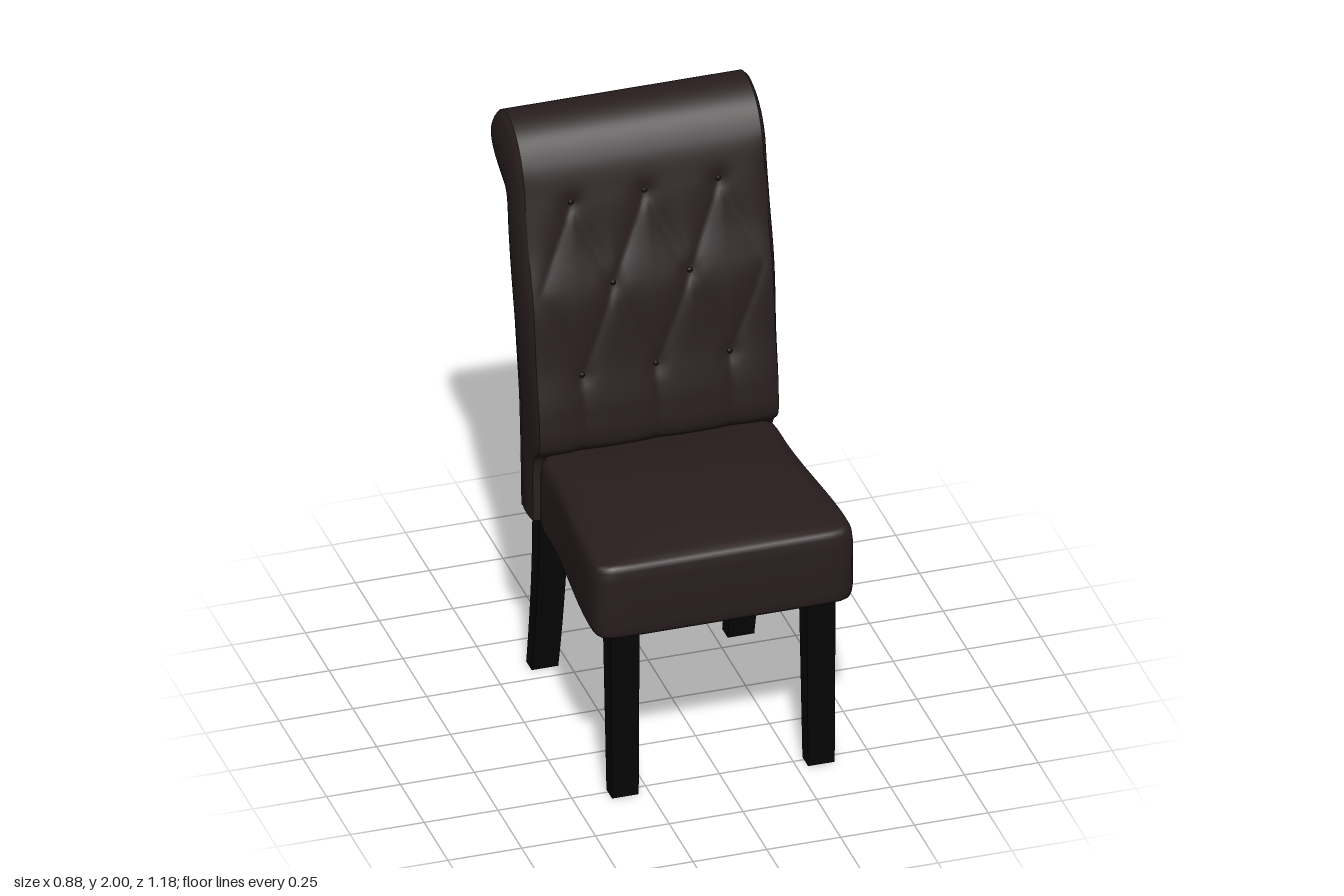
import * as THREE from 'three';

const V3 = (x, y, z) => new THREE.Vector3(x, y, z);
const mat = (name, color) => Object.assign(new THREE.MeshStandardMaterial({ color }), { name });
const mix = THREE.MathUtils.lerp, smooth = THREE.MathUtils.smoothstep;

// Smooth surface from a rule p(u, v); the outside is on the du x dv side
function patch(p, nu, nv) {
  const pos = [], idx = [];
  for (let j = 0; j <= nv; j++)
    for (let i = 0; i <= nu; i++) pos.push(...p(i / nu, j / nv).toArray());
  for (let j = 0; j < nv; j++)
    for (let i = 0; i < nu; i++) {
      const a = j * (nu + 1) + i, d = a + nu + 1;
      idx.push(a, a + 1, d + 1, a, d + 1, d);
    }
  const g = new THREE.BufferGeometry();
  g.setAttribute('position', new THREE.Float32BufferAttribute(pos, 3));
  g.setIndex(idx);
  g.computeVertexNormals();
  return g;
}

// Backrest profile: matching front and back edges as [z, y], floor end to scroll tip
const curve = pts => new THREE.CatmullRomCurve3(pts.map(([z, y]) => V3(0, y, z)));
const frontEdge = curve([[-0.19, 0.625], [-0.185, 0.85], [-0.125, 0.92], [-0.125, 1.03], [-0.155, 1.2],
  [-0.185, 1.42], [-0.235, 1.6], [-0.275, 1.76], [-0.315, 1.88], [-0.38, 1.965], [-0.475, 2], [-0.543, 1.978],
  [-0.58, 1.935], [-0.591, 1.885]]);
const backEdge = curve([[-0.31, 0.625], [-0.32, 0.85], [-0.325, 0.92], [-0.335, 1.03], [-0.365, 1.2],
  [-0.405, 1.42], [-0.435, 1.6], [-0.46, 1.735], [-0.485, 1.743], [-0.515, 1.752], [-0.545, 1.77], [-0.57, 1.798],
  [-0.586, 1.837], [-0.591, 1.885]]);
const HW = 0.405;
const CROOK = 7 / 13; // where the back panel meets the scroll

// Tufting: buttons and the folds that join them
const buttons = [[-0.25, 1.74], [0, 1.74], [0.25, 1.74], [-0.13, 1.46], [0.13, 1.46], [-0.25, 1.16], [0, 1.16], [0.25, 1.16]];
const folds = [];
for (const y of [1.74, 1.16]) {
  for (const s of [-1, 1])
    folds.push([0, y, s * 0.13, 1.46], [s * 0.25, y, s * 0.13, 1.46], [s * 0.25, y, s * 0.38, 1.46]);
}
for (const x of [-0.25, 0, 0.25]) folds.push([x, 1.16, x, 0.9]);

function tuft(x, y) {
  let near = 1, pit = 0;
  for (const [ax, ay, bx, by] of folds) {
    const dx = bx - ax, dy = by - ay;
    const k = THREE.MathUtils.clamp(((x - ax) * dx + (y - ay) * dy) / (dx * dx + dy * dy), 0, 1);
    near = Math.min(near, Math.hypot(x - ax - k * dx, y - ay - k * dy));
  }
  for (const [bx, by] of buttons) pit += Math.exp(-((x - bx) ** 2 + (y - by) ** 2) / 0.001);
  const fade = (1 - Math.abs(x / HW) ** 8) * (1 - smooth(y, 1.74, 1.88));
  return fade * (0.012 * Math.exp(-near / 0.035) + 0.008 * pit);
}

function frontAt(x, t) {
  const p = frontEdge.getPoint(t);
  const round = 0.012 * Math.abs(x / HW) ** 12 * (1 - smooth(p.y, 1.7, 1.9));
  const tufted = p.z > -0.4 ? tuft(x, p.y) : 0;
  return V3(x, p.y, p.z - tufted - round);
}

// Back panel with a centre seam and two soft pleats
function backAt(x, t) {
  const p = backEdge.getPoint(t);
  const seam = 0.011 * Math.exp(-((x / 0.012) ** 2)) + 0.004 * Math.exp(-(((Math.abs(x) - 0.22) / 0.04) ** 2));
  return V3(x, p.y, p.z + seam * (1 - smooth(t, CROOK - 0.06, CROOK)));
}

// Puffed side panel, v runs from back to front
function sideAt(s, v, t) {
  const f = frontAt(s * HW, t), b = backAt(s * HW, t);
  const puff = (0.008 + 0.023 * smooth(f.y, 0.8, 1.6)) * Math.sqrt(Math.min(1, f.distanceTo(b) / 0.24));
  const p = b.lerp(f, v);
  p.x += s * puff * Math.max(0, 4 * v * (1 - v)) ** 0.7;
  return p;
}

// Seat cushion: rounded, tapering outline shrunk by k, with inset rings up the sides
function seatPoint(u, k, y) {
  const a = (u * 2 - 1) * Math.PI, sx = Math.sin(a), sz = Math.cos(a);
  const n = 16, r = k / (Math.abs(sx) ** n + Math.abs(sz) ** n) ** (1 / n);
  const z = 0.2 + sz * r * 0.388;
  return V3(sx * r * (0.402 + 0.04 * smooth(z, -0.05, 0.52)), y, z);
}
const seatRings = [[0.86, 0.625], [0.95, 0.62], [0.98, 0.622], [0.994, 0.635], [1, 0.66], [1.002, 0.75],
  [1, 0.83], [0.992, 0.865], [0.975, 0.88], [0.95, 0.887]];

// Square leg whose sections follow [y, zCentre, depth, xCentre, width]
function legGeometry(path) {
  const n = path.length - 1, g = new THREE.BoxGeometry(1, 1, 1, 1, n, 1), p = g.attributes.position;
  for (let i = 0; i < p.count; i++) {
    const [y, z, d, x, w] = path[Math.round((p.getY(i) + 0.5) * n)];
    p.setXYZ(i, x + p.getX(i) * w, y, z + p.getZ(i) * d);
  }
  g.computeVertexNormals();
  return g;
}

export function createModel() {
  const root = new THREE.Group();
  root.name = 'diningChair';
  const fabric = mat('brownUpholstery', 0x281d1e);
  const wood = mat('blackWood', 0x050505);
  const lining = mat('oliveLining', 0x4a3d26);
  const buttonMat = mat('darkButton', 0x120d0d);
  const add = (parent, name, geo, m) => {
    const mesh = new THREE.Mesh(geo, m);
    mesh.name = name;
    parent.add(mesh);
    return mesh;
  };

  // Backrest shell
  const back = new THREE.Group();
  back.name = 'backrest';
  root.add(back);
  add(back, 'tuftedFront', patch((u, v) => frontAt(mix(-HW, HW, u), v), 80, 130), fabric);
  add(back, 'backPanel', patch((u, v) => backAt(mix(HW, -HW, u), v), 80, 130), fabric);
  add(back, 'leftSide', patch((u, v) => sideAt(1, 1 - u, v), 16, 130), fabric);
  add(back, 'rightSide', patch((u, v) => sideAt(-1, u, v), 16, 130), fabric);
  add(back, 'backrestBottom', patch((u, v) => {
    const x = mix(-HW, HW, u);
    return backAt(x, 0).lerp(frontAt(x, 0), v);
  }, 80, 1), fabric);

  // Piping along both rear edges
  for (const s of [-1, 1]) {
    const pts = [];
    for (let i = 0; i <= 24; i++) pts.push(backAt(s * HW, i / 24 * CROOK));
    add(back, s > 0 ? 'leftPiping' : 'rightPiping',
      new THREE.TubeGeometry(new THREE.CatmullRomCurve3(pts), 60, 0.005, 6), fabric);
  }

  // Buttons sunk into the tufting
  for (const [x, y] of buttons) {
    let t = 0;
    while (frontEdge.getPoint(t).y < y) t += 0.002;
    const b = add(back, 'button', new THREE.SphereGeometry(0.01, 12, 8), buttonMat);
    b.position.copy(frontAt(x, t));
    b.scale.z = 0.5;
  }

  // Seat cushion sides, domed top and underside lining
  const seat = new THREE.Group();
  seat.name = 'seat';
  root.add(seat);
  const nr = seatRings.length - 1, domeRings = 16;
  add(seat, 'seatCushion', patch((u, v) => {
    const j = Math.round(v * (nr + domeRings));
    if (j <= nr) return seatPoint(u, ...seatRings[j]);
    const p = seatPoint(u, 0.95 * (1 - (j - nr) / domeRings), 0);
    const fx = 1 - Math.min(1, Math.abs(p.x) / 0.42) ** 2, fz = 1 - Math.min(1, Math.abs(p.z - 0.2) / 0.38) ** 2;
    p.y = 0.887 + 0.047 * Math.sqrt(fx) * fz;
    return p;
  }, 128, nr + domeRings), fabric);
  add(seat, 'undersideLining', patch((u, v) => seatPoint(u, 0.87 * v, 0.625), 64, 1), lining);

  // Legs: straight tapered at the front, swept back at the rear
  for (const s of [-1, 1]) {
    const side = s > 0 ? 'Left' : 'Right';
    add(root, 'front' + side + 'Leg', legGeometry([
      [0, 0.513, 0.06, s * 0.332, 0.09], [0.64, 0.498, 0.084, s * 0.332, 0.098]]), wood);
    const rear = [];
    for (let i = 0; i <= 10; i++) {
      const k = i / 10;
      rear.push([0.64 * k, -0.247 - 0.086 * (1 - k) ** 1.7, mix(0.058, 0.078, k), s * 0.332, mix(0.09, 0.098, k)]);
    }
    add(root, 'rear' + side + 'Leg', legGeometry(rear), wood);
  }
  return root;
}
